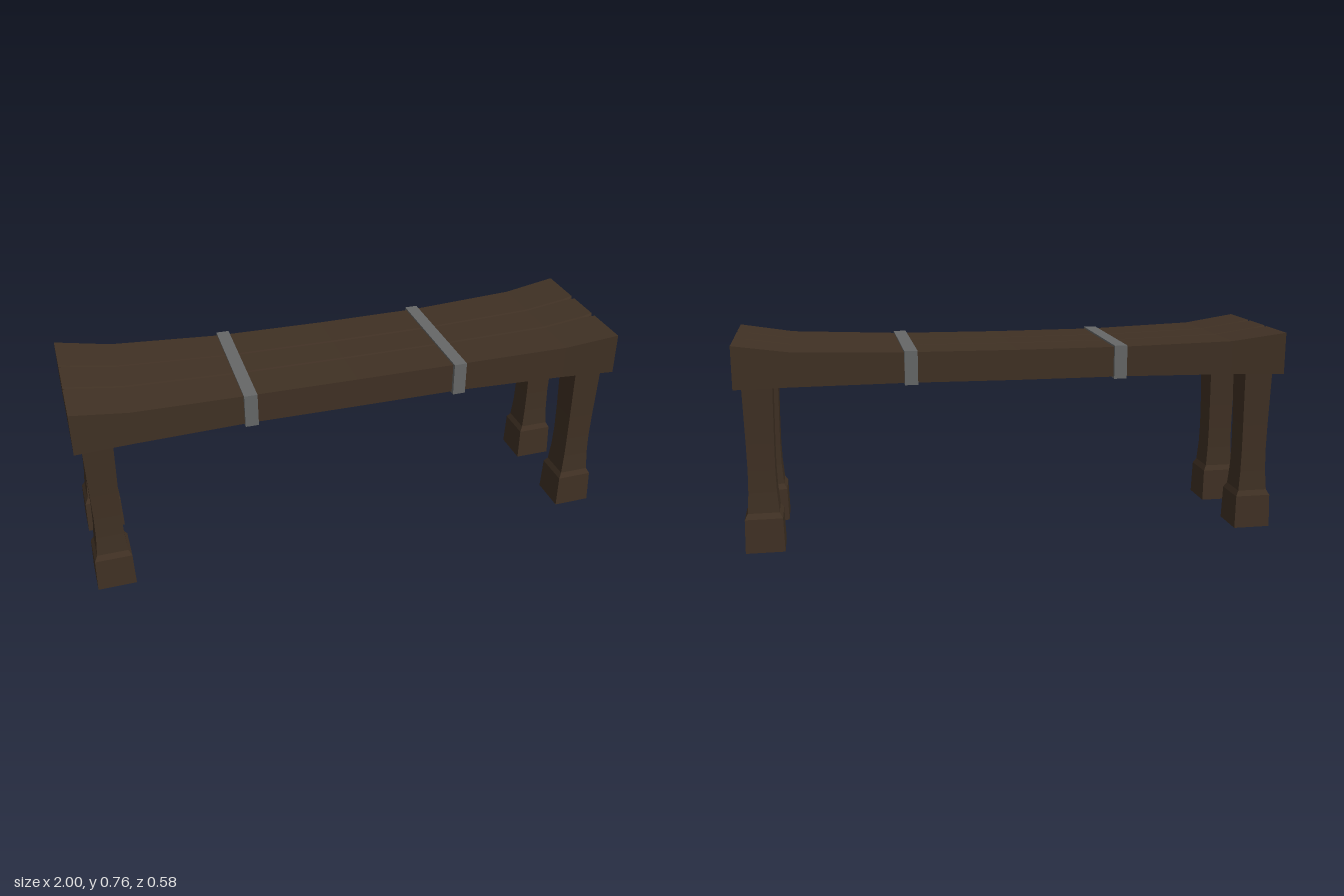
import * as THREE from 'three';

const wood = new THREE.MeshStandardMaterial({ color: 0x403124, flatShading: true });
const metal = new THREE.MeshStandardMaterial({ color: 0x666868, flatShading: true });

// Skin a list of matching cross-section rings and close both ends
function loft(rings) {
  const pos = [];
  const tri = (...points) => points.forEach((p) => pos.push(...p));
  const n = rings[0].length;
  for (let i = 0; i < rings.length - 1; i++) {
    for (let j = 0; j < n; j++) {
      const k = (j + 1) % n;
      const a = rings[i][j], b = rings[i + 1][j], c = rings[i + 1][k], d = rings[i][k];
      tri(a, b, c);
      tri(a, c, d);
    }
  }
  const first = rings[0], last = rings[rings.length - 1];
  for (let j = 1; j < n - 1; j++) {
    tri(first[0], first[j], first[j + 1]);
    tri(last[0], last[j + 1], last[j]);
  }
  const geometry = new THREE.BufferGeometry();
  geometry.setAttribute('position', new THREE.Float32BufferAttribute(pos, 3));
  geometry.computeVertexNormals();
  return geometry;
}

// Piecewise linear lookup through [x, value] pairs
function lookup(table, x) {
  let i = 0;
  while (i < table.length - 2 && x > table[i + 1][0]) i++;
  const [x0, v0] = table[i], [x1, v1] = table[i + 1];
  return v0 + ((v1 - v0) * (x - x0)) / (x1 - x0);
}

const frontEdge = [[-1, 0.25], [-0.8, 0.241], [-0.4, 0.23], [0, 0.234], [0.4, 0.242], [0.8, 0.268], [1, 0.288]];
const seam = [[-1, 0.06], [-0.4, 0.064], [0, 0.069], [0.4, 0.076], [1, 0.1]];
const topHeight = [[0, 0.712], [0.4, 0.714], [0.8, 0.727], [1, 0.756]];
const bottomHeight = [[0, 0.602], [0.6, 0.605], [1, 0.602]];
const stations = [-1, -0.96, -0.8, -0.4, 0, 0.4, 0.8, 0.96, 1];

// The seat edges: the rear half is the front half turned by 180 degrees
const edges = [
  (x) => lookup(frontEdge, x),
  (x) => lookup(seam, x),
  (x) => -lookup(seam, -x),
  (x) => -lookup(frontEdge, -x),
];

// One plank, bevelled along its seams, which open slightly at the ends
function plank(index) {
  return loft(stations.map((x) => {
    const gap = Math.abs(x) === 1 ? 0.0075 : 0.0005;
    const bevel = 0.005;
    const frontSeam = index > 0, backSeam = index < 2;
    const zf = edges[index](x) - (frontSeam ? gap : 0);
    const zb = edges[index + 1](x) + (backSeam ? gap : 0);
    const top = lookup(topHeight, Math.abs(x));
    const bottom = lookup(bottomHeight, Math.abs(x));
    const bf = frontSeam ? bevel : 0, bb = backSeam ? bevel : 0;
    const ring = [[x, top, zf - bf], [x, top, zb + bb]];
    if (backSeam) ring.push([x, top - 0.008, zb], [x, bottom + 0.008, zb]);
    ring.push([x, bottom, zb + bb], [x, bottom, zf - bf]);
    if (frontSeam) ring.push([x, bottom + 0.008, zf], [x, top - 0.008, zf]);
    return ring;
  }));
}

// Square leg with a waisted shaft and a block foot: [y, half x, half z]
const legProfile = [
  [0, 0.07, 0.0715], [0.125, 0.067, 0.0675], [0.145, 0.056, 0.0575],
  [0.22, 0.05, 0.053], [0.3, 0.048, 0.0515], [0.4, 0.049, 0.053], [0.61, 0.053, 0.0585],
];

export function createModel() {
  const model = new THREE.Group();
  model.name = 'bench';
  const add = (name, geometry, material, x = 0, y = 0, z = 0) => {
    const mesh = new THREE.Mesh(geometry, material);
    mesh.name = name;
    mesh.position.set(x, y, z);
    model.add(mesh);
    return mesh;
  };

  // Seat planks
  ['frontPlank', 'middlePlank', 'backPlank'].forEach((name, i) => add(name, plank(i), wood));

  // Legs, in pairs turned by 180 degrees
  const legGeometry = loft(legProfile.map(([y, a, b]) => [[a, y, -b], [a, y, b], [-a, y, b], [-a, y, -b]]));
  for (const s of [1, -1]) {
    add(s > 0 ? 'frontLeftLeg' : 'backRightLeg', legGeometry, wood, s * 0.915, 0, s * 0.1985);
    add(s > 0 ? 'backLeftLeg' : 'frontRightLeg', legGeometry, wood, s * 0.92, 0, s * -0.164);
  }

  // Metal straps around the seat
  const strapGeometry = new THREE.BoxGeometry(0.047, 0.122, 0.498);
  for (const s of [1, -1]) {
    const strap = add(s > 0 ? 'leftStrap' : 'rightStrap', strapGeometry, metal, s * 0.384, 0.659, s > 0 ? -0.001 : -0.012);
    strap.rotation.y = s > 0 ? 0.005 : -0.018;
    strap.position.z = s * 0.006;
  }
  return model;
}
